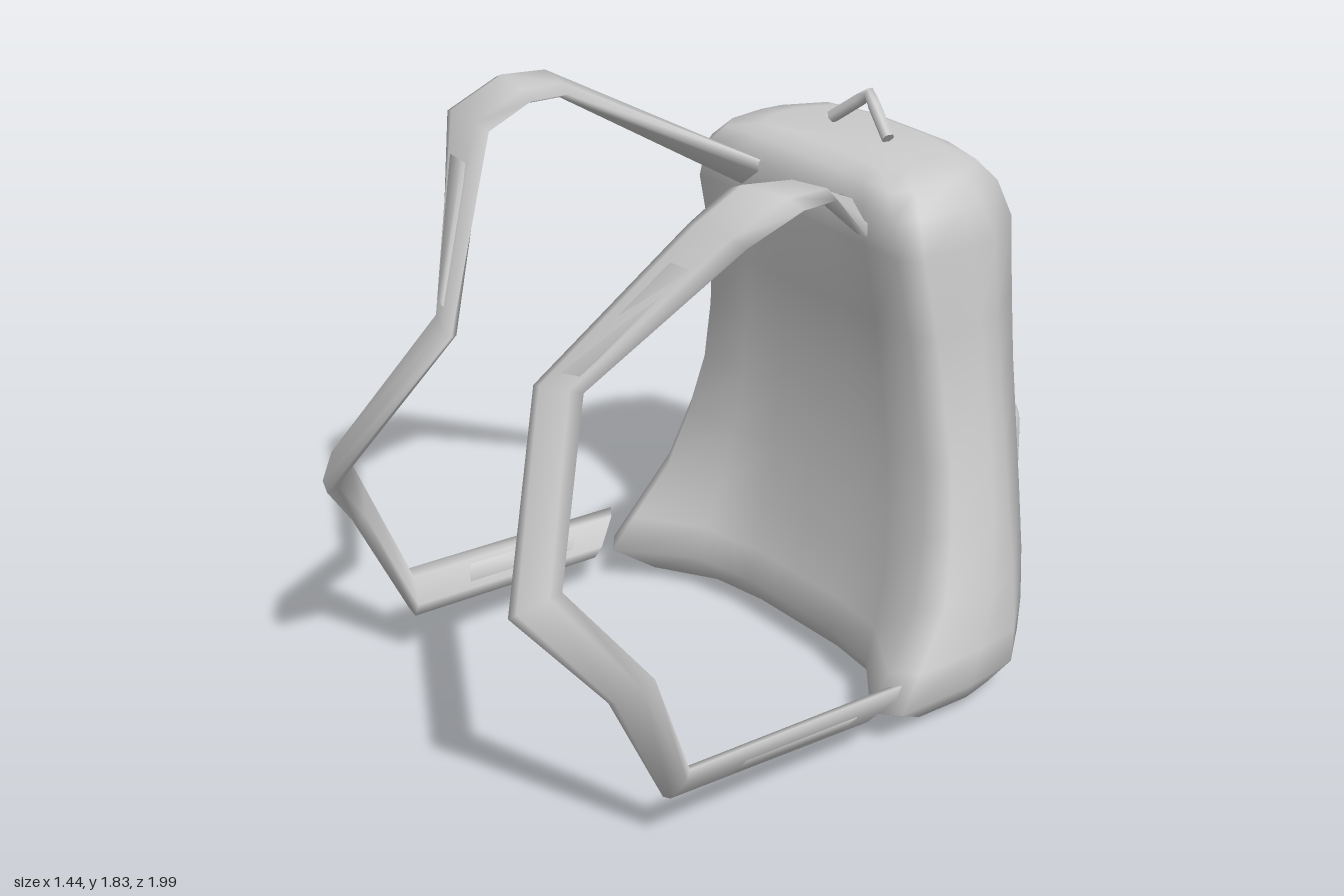
import * as THREE from 'three';
import { toCreasedNormals } from 'three/addons/utils/BufferGeometryUtils.js';

const V = (p) => new THREE.Vector3(...p);

// Smooth skin over equal-length rings of Vector3, closed at both ends
function loft(rings) {
  const n = rings[0].length;
  const last = (rings.length - 1) * n;
  const pts = rings.flat();
  const centre = (r) => r.reduce((s, p) => s.add(p), new THREE.Vector3()).divideScalar(n);
  const start = pts.push(centre(rings[0])) - 1;
  const end = pts.push(centre(rings[rings.length - 1])) - 1;
  const index = [];
  for (let i = 0; i < n; i++) {
    const k = (i + 1) % n;
    for (let o = 0; o < last; o += n) {
      index.push(o + i, o + k, o + n + k, o + i, o + n + k, o + n + i);
    }
    index.push(start, k, i, end, last + i, last + k);
  }
  const g = new THREE.BufferGeometry().setFromPoints(pts);
  g.setIndex(index);
  g.computeVertexNormals();
  return g;
}

// Bag body: levels of [y, half width, front centre z, front corner z, back z]
function bodyGeometry() {
  const levels = [
    [0.01, 0.48, -0.52, -0.44, -0.76],
    [0.05, 0.64, -0.42, -0.28, -0.83],
    [0.14, 0.7, -0.37, -0.15, -0.87],
    [0.24, 0.685, -0.4, -0.23, -0.89],
    [0.4, 0.655, -0.43, -0.35, -0.905],
    [0.6, 0.61, -0.45, -0.41, -0.915],
    [0.8, 0.565, -0.46, -0.44, -0.92],
    [1.0, 0.525, -0.45, -0.435, -0.925],
    [1.2, 0.5, -0.43, -0.42, -0.925],
    [1.45, 0.49, -0.38, -0.365, -0.91],
    [1.56, 0.46, -0.385, -0.37, -0.87],
    [1.62, 0.4, -0.42, -0.4, -0.82],
    [1.645, 0.29, -0.48, -0.46, -0.76],
  ];
  return loft(levels.map(([y, w, zf, zw, zb]) => {
    const deep = Math.min(0.2, (zw - zb) * 0.4);
    const half = [
      [0.28, zf], [0.58, zf + (zw - zf) * 0.2], [0.88, zw], [0.98, zw - 0.06],
      [1, (zw + zb) / 2 + 0.03], [0.97, zb + deep], [0.8, zb + deep * 0.25], [0.4, zb],
    ];
    const side = (s) => half.map(([f, z]) => new THREE.Vector3(s * f * w, y, z));
    return [new THREE.Vector3(0, y, zf), ...side(1),
      new THREE.Vector3(0, y, zb), ...side(-1).reverse()];
  }));
}

// Strap edges, from the top of the bag over the shoulder and back to the base
const STRAP = [
  [[0.17, 1.56, -0.4], [0.28, 1.46, -0.4]],
  [[0.46, 1.8, 0.1], [0.65, 1.81, 0.07]],
  [[0.43, 1.82, 0.25], [0.67, 1.82, 0.2]],
  [[0.44, 1.76, 0.39], [0.66, 1.76, 0.38]],
  [[0.19, 1.31, 0.71], [0.33, 1.32, 0.65]],
  [[0.44, 0.82, 0.99], [0.53, 0.9, 0.88]],
  [[0.61, 0.57, 0.8], [0.72, 0.67, 0.73]],
  [[0.61, 0.19, 0.62], [0.69, 0.31, 0.59]],
  [[0.62, 0.135, -0.08], [0.69, 0.25, -0.2]],
];

// Padded ribbon between two edges; mirror = 1 or -1
function ribbon(edges, h, mirror) {
  const flip = ([x, y, z]) => V([x * mirror, y, z]);
  const st = edges.map(([a, b]) => [flip(a), flip(b)]);
  const mid = st.map(([a, b]) => a.clone().add(b).multiplyScalar(0.5));
  return loft(st.map(([a, b], i) => {
    const t = new THREE.Vector3();
    if (i > 0) t.add(mid[i].clone().sub(mid[i - 1]).normalize());
    if (i < mid.length - 1) t.add(mid[i + 1].clone().sub(mid[i]).normalize());
    const n = b.clone().sub(a).cross(t).normalize();
    const at = (f, s) => a.clone().lerp(b, f).addScaledVector(n, s * h);
    return [at(0, 0), at(0.2, 1), at(0.8, 1), at(1, 0), at(0.8, -1), at(0.2, -1)];
  }));
}

// Narrower piece of one strap segment, for the sewn patches
function patchEdges(seg, from, to) {
  const [[a0, b0], [a1, b1]] = [STRAP[seg], STRAP[seg + 1]];
  return [from, to].map((f) => {
    const a = V(a0).lerp(V(a1), f);
    const b = V(b0).lerp(V(b1), f);
    return [a.clone().lerp(b, 0.25).toArray(), a.clone().lerp(b, 0.8).toArray()];
  });
}

// Soft trapezoid pocket
function pocketGeometry() {
  const s = new THREE.Shape();
  const r = 0.06;
  const corners = [[-0.4, 0], [0.4, 0], [0.34, 0.6], [-0.34, 0.6]].map(([x, y]) => new THREE.Vector2(x, y));
  corners.forEach((c, i) => {
    const toward = (o) => c.clone().add(o.clone().sub(c).setLength(r));
    const p = toward(corners[(i + 3) % 4]);
    const q = toward(corners[(i + 1) % 4]);
    if (i === 0) s.moveTo(p.x, p.y); else s.lineTo(p.x, p.y);
    s.quadraticCurveTo(c.x, c.y, q.x, q.y);
  });
  s.closePath();
  const g = new THREE.ExtrudeGeometry(s, {
    depth: 0.06, bevelThickness: 0.04, bevelSize: 0.035, bevelSegments: 3, curveSegments: 4,
  });
  return toCreasedNormals(g, 1);
}

export function createModel() {
  const model = new THREE.Group();
  const fabric = new THREE.MeshStandardMaterial({ color: 0xcccccc });
  fabric.name = 'grey fabric';
  const add = (name, geometry) => {
    const m = new THREE.Mesh(geometry, fabric);
    m.name = name;
    model.add(m);
    return m;
  };

  add('bagBody', bodyGeometry());

  const pocket = add('backPocket', pocketGeometry());
  pocket.position.set(0, 0.18, -0.915);
  pocket.rotation.x = -0.07;

  // Shoulder straps with their patches
  for (const [side, m] of [['left', 1], ['right', -1]]) {
    add(side + 'Strap', ribbon(STRAP, 0.022, m));
    add(side + 'UpperPatch', ribbon(patchEdges(3, 0.2, 0.9), 0.025, m));
    add(side + 'LowerPatch', ribbon(patchEdges(7, 0.28, 0.82), 0.025, m));
  }

  // Bent carry handle above the top
  const bars = new THREE.CurvePath();
  const pts = [[-0.12, 1.665, -0.615], [0, 1.76, -0.65], [0.12, 1.665, -0.615]].map(V);
  bars.add(new THREE.LineCurve3(pts[0], pts[1]));
  bars.add(new THREE.LineCurve3(pts[1], pts[2]));
  add('carryHandle', new THREE.TubeGeometry(bars, 8, 0.02, 6));
  for (const [p, q] of [[pts[0], pts[1]], [pts[2], pts[1]]]) {
    const cap = add('handleEnd', new THREE.CircleGeometry(0.02, 6));
    cap.position.copy(p);
    cap.lookAt(p.clone().multiplyScalar(2).sub(q));
  }
  return model;
}
